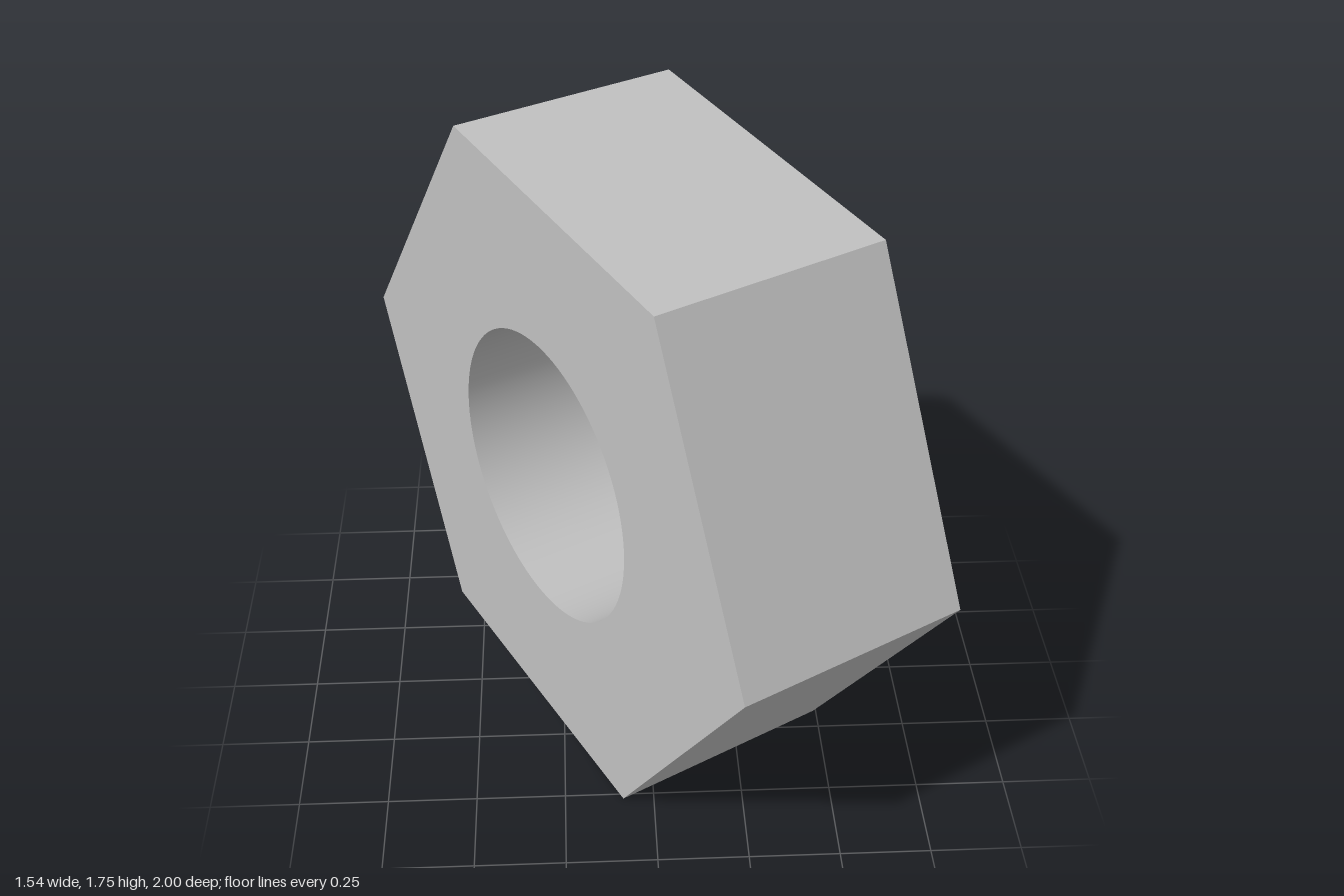
import * as THREE from 'three';

const RADIUS = 0.966, BORE = 0.42, THICKNESS = 0.667, CENTRE_Y = 0.877;
const TILT = THREE.MathUtils.degToRad(-5.2);

export function createModel() {
  const steel = new THREE.MeshStandardMaterial({ color: 0xc0c0c0 });
  steel.name = 'steel grey';

  // Hexagonal outline with a round hole
  const corners = [];
  for (let i = 0; i < 6; i++) {
    const a = TILT + (i * Math.PI) / 3;
    corners.push(new THREE.Vector2(RADIUS * Math.cos(a), RADIUS * Math.sin(a)));
  }
  const outline = new THREE.Shape(corners);
  outline.holes.push(new THREE.Path().absarc(0, 0, BORE, 0, Math.PI * 2, true));

  const geometry = new THREE.ExtrudeGeometry(outline, {
    depth: THICKNESS, bevelEnabled: false, curveSegments: 48,
  });
  geometry.translate(0, 0, -THICKNESS / 2);

  // Smooth normals on the bore wall, pointing at the axis
  const p = geometry.attributes.position, n = geometry.attributes.normal;
  for (let i = 0; i < p.count; i++) {
    const r = Math.hypot(p.getX(i), p.getY(i));
    if (r < BORE + 0.01 && Math.abs(n.getZ(i)) < 0.5) {
      n.setXYZ(i, -p.getX(i) / r, -p.getY(i) / r, 0);
    }
  }

  const nut = new THREE.Mesh(geometry, steel);
  nut.name = 'hexNut';
  nut.position.y = CENTRE_Y;
  nut.rotation.y = -Math.PI / 3;

  const group = new THREE.Group();
  group.name = 'nut';
  group.add(nut);
  return group;
}
